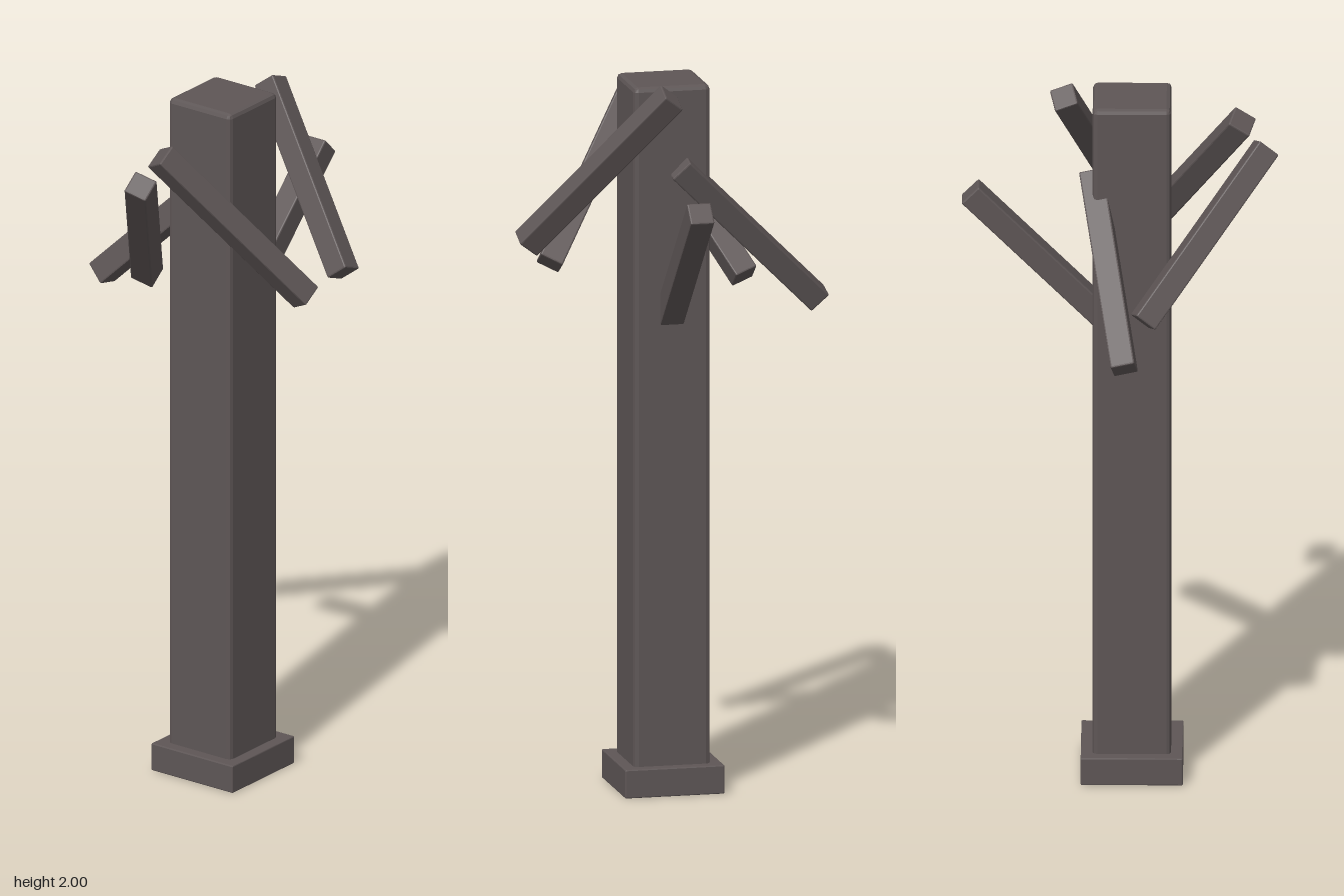
import * as THREE from 'three';
import { RoundedBoxGeometry } from 'three/addons/geometries/RoundedBoxGeometry.js';

export function createModel() {
  const model = new THREE.Group();
  const bark = new THREE.MeshStandardMaterial({ color: 0x5e5656, flatShading: true });
  bark.name = 'dark bark';

  // Chamfered box placed by its centre
  const block = (name, size, bevel, position) => {
    const mesh = new THREE.Mesh(new RoundedBoxGeometry(...size, 1, bevel), bark);
    mesh.name = name;
    mesh.position.set(...position);
    model.add(mesh);
    return mesh;
  };

  // Base plinth and trunk
  block('base', [0.28, 0.08, 0.28], 0.003, [-0.033, 0.04, 0.013]);
  block('trunk', [0.215, 1.925, 0.215], 0.013, [-0.033, 1.0225, 0.013]);

  // Branches: centre, then tilt about x and z in degrees
  const branches = [
    ['leftBranch', [0.203, 1.493, 0.013], 0, -45],
    ['frontLeftBranch', [0.075, 1.76, 0.22], -39.4, -20.6],
    ['frontRightBranch', [-0.201, 1.69, 0.176], -30.5, 32],
    ['backRightBranch', [-0.233, 1.623, -0.107], 23.4, 38.5],
    ['backBranch', [0.03, 1.555, -0.212], 44.5, -12.4],
  ];
  for (const [name, centre, tiltX, tiltZ] of branches) {
    const branch = block(name, [0.067, 0.59, 0.067], 0.004, centre);
    branch.rotation.set(
      THREE.MathUtils.degToRad(tiltX), 0, THREE.MathUtils.degToRad(tiltZ), 'ZYX');
  }

  return model;
}
